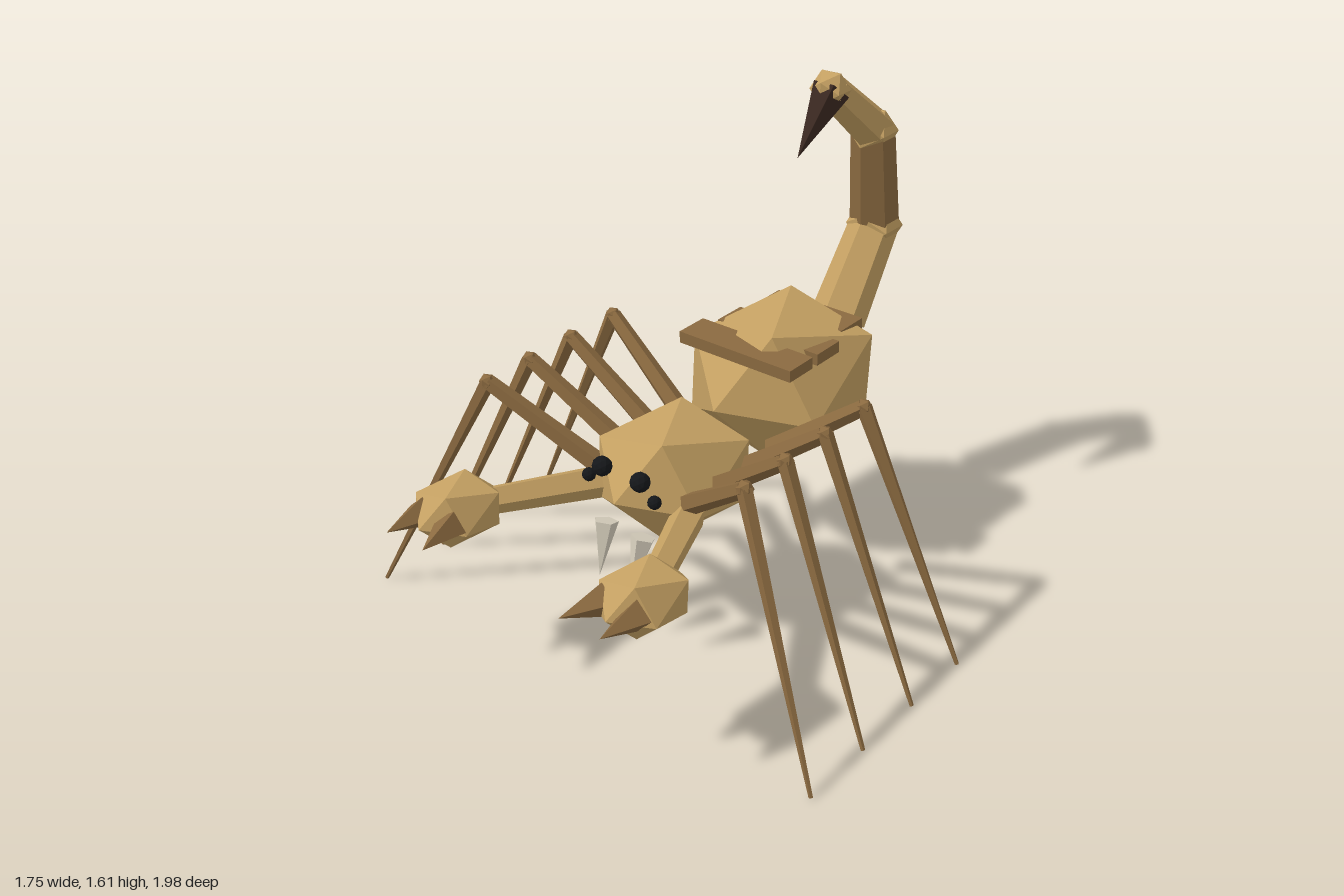
import * as THREE from 'three';
import { ConvexGeometry } from 'three/addons/geometries/ConvexGeometry.js';

function material(name, color) {
  const m = new THREE.MeshStandardMaterial({ color });
  m.name = name;
  return m;
}

const V = (x, y, z) => new THREE.Vector3(x, y, z);

// Faceted normals for every part
function flat(geometry) {
  const g = geometry.index ? geometry.toNonIndexed() : geometry;
  g.computeVertexNormals();
  return g;
}

// Tilted twelve-cornered lump: six corners and their opposites, half extents about 1
const lumpCorners = [
  [0.93, -0.2, 0.48], [0.84, 0.62, -0.48], [-0.29, 1, -0.45],
  [0.34, 1, 0.52], [0, -0.03, -1], [-0.8, 0.62, 0.47],
];

export function createModel() {
  const tan = material('tan shell', 0xc4a062);
  const brown = material('brown shell', 0x8b6a40);
  const dark = material('dark stinger', 0x3a2820);
  const ivory = material('ivory fang', 0xd6cebc);
  const black = material('black eye', 0x15171a);

  const model = new THREE.Group();
  model.name = 'scorpion';

  function add(name, geometry, mat, position, parent = model) {
    const mesh = new THREE.Mesh(flat(geometry), mat);
    mesh.name = name;
    mesh.position.copy(position);
    parent.add(mesh);
    return mesh;
  }

  // Tapered prism between two points
  function limb(name, a, b, ra, rb, sides, mat, parent = model) {
    const d = b.clone().sub(a);
    const g = rb === 0
      ? new THREE.ConeGeometry(ra, d.length(), sides)
      : new THREE.CylinderGeometry(rb, ra, d.length(), sides);
    const mesh = add(name, g, mat, a.clone().add(b).multiplyScalar(0.5), parent);
    mesh.quaternion.setFromUnitVectors(V(0, 1, 0), d.normalize());
    return mesh;
  }

  function lump(name, centre, sx, sy, sz, mat, parent = model) {
    const points = lumpCorners.flatMap(([x, y, z]) => [
      V(x * sx, y * sy, z * sz), V(-x * sx, -y * sy, -z * sz),
    ]);
    return add(name, new ConvexGeometry(points), mat, centre, parent);
  }

  // Body
  lump('abdomen', V(-0.01, 0.64, -0.39), 0.285, 0.23, 0.36, tan);
  lump('head', V(0, 0.545, 0.185), 0.23, 0.175, 0.28, tan);

  // Back plates, the rear ones partly sunk into the abdomen
  [[0.44, 0.81, -0.18], [0.4, 0.79, -0.355], [0.34, 0.795, -0.53]].forEach(([w, y, z], i) =>
    add(`backPlate${i + 1}`, new THREE.BoxGeometry(w, 0.04, 0.12), brown, V(0, y, z)));

  // Tail arching over the back
  const tail = new THREE.Group();
  tail.name = 'tail';
  model.add(tail);
  const path = [V(0, 0.72, -0.7), V(0, 1.0, -0.9), V(0, 1.35, -0.865), V(0, 1.56, -0.61)];
  const radii = [0.095, 0.084, 0.074, 0.058];
  for (let i = 0; i < 3; i++) {
    limb(`tailSegment${i + 1}`, path[i], path[i + 1], radii[i], radii[i + 1], 6,
      i === 1 ? brown : tan, tail);
    add(`tailJoint${i + 1}`, new THREE.IcosahedronGeometry(radii[i + 1] * 1.15), tan,
      path[i + 1], tail);
  }
  limb('stinger', V(0, 1.555, -0.61), V(0, 1.38, -0.44), 0.065, 0, 5, dark, tail);

  for (const s of [1, -1]) {
    const side = s > 0 ? 'left' : 'right';

    // Four jointed legs: hip, knee and foot z for each pair
    [[-0.08, -0.115, -0.14], [0.06, 0.09, 0.12], [0.2, 0.285, 0.38], [0.33, 0.475, 0.64]]
      .forEach(([hz, kz, fz], i) => {
        const leg = new THREE.Group();
        leg.name = `${side}Leg${i + 1}`;
        model.add(leg);
        const hip = V(s * 0.185, 0.56, hz);
        const knee = V(s * 0.5, 0.805, kz);
        limb('upperLeg', hip, knee, 0.036, 0.026, 5, brown, leg);
        add('knee', new THREE.IcosahedronGeometry(0.027), brown, knee, leg);
        limb('lowerLeg', knee, V(s * 0.87, 0.005, fz), 0.026, 0.007, 5, brown, leg);
      });

    // Pincer arm with a bulky hand and two pointed fingers
    const arm = new THREE.Group();
    arm.name = `${side}Pincer`;
    model.add(arm);
    limb('arm', V(s * 0.16, 0.5, 0.3), V(s * 0.34, 0.535, 0.68), 0.055, 0.045, 5, tan, arm);
    lump('hand', V(s * 0.365, 0.54, 0.76), 0.12, 0.09, 0.16, tan, arm);
    limb('innerFinger', V(s * 0.3, 0.55, 0.85), V(s * 0.265, 0.555, 1), 0.052, 0, 4, brown, arm);
    limb('outerFinger', V(s * 0.42, 0.55, 0.85), V(s * 0.415, 0.555, 1), 0.052, 0, 4, brown, arm);

    // Face
    limb(`${side}Fang`, V(s * 0.075, 0.44, 0.42), V(s * 0.063, 0.27, 0.47), 0.04, 0, 5, ivory);
    add(`${side}LargeEye`, new THREE.IcosahedronGeometry(0.032, 1), black, V(s * 0.075, 0.64, 0.43));
    add(`${side}SmallEye`, new THREE.IcosahedronGeometry(0.022, 1), black, V(s * 0.13, 0.59, 0.43));
  }

  return model;
}
